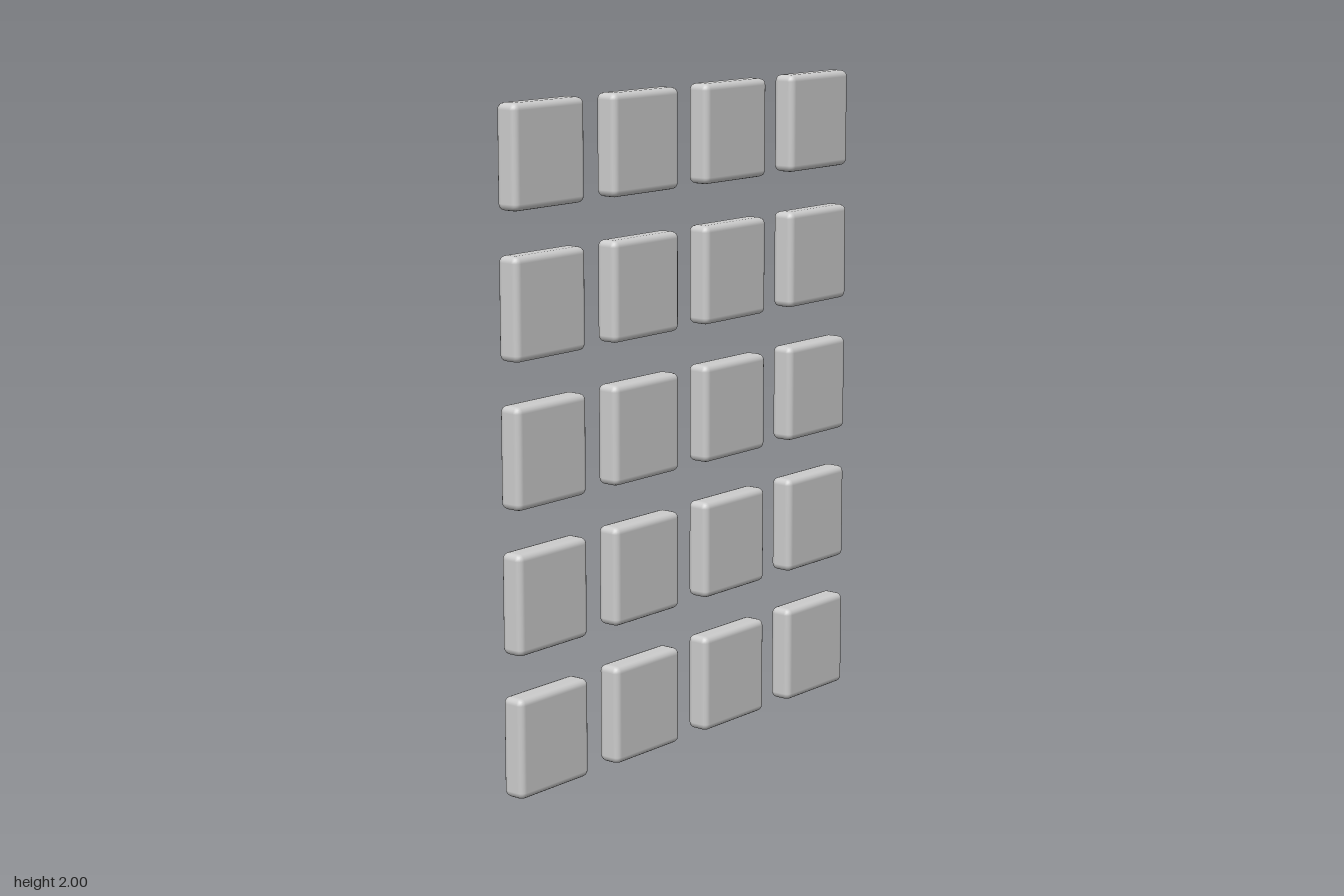
import * as THREE from 'three';
import { RoundedBoxGeometry } from 'three/addons/geometries/RoundedBoxGeometry.js';

const COLUMNS = 4, ROWS = 5;
const SIZE = 0.3, DEPTH = 0.075, PITCH = 0.425, BEVEL = 0.02;

export function createModel() {
  const group = new THREE.Group();
  group.name = 'tileGrid';
  const material = new THREE.MeshStandardMaterial({ color: 0xcccccc });
  const geometry = new RoundedBoxGeometry(SIZE, SIZE, DEPTH, 2, BEVEL);

  // Upright grid of separate square tiles with softened edges
  for (let row = 0; row < ROWS; row++) {
    for (let column = 0; column < COLUMNS; column++) {
      const tile = new THREE.Mesh(geometry, material);
      tile.name = `tileRow${row + 1}Column${column + 1}`;
      tile.position.set((column - (COLUMNS - 1) / 2) * PITCH, SIZE / 2 + row * PITCH, 0);
      group.add(tile);
    }
  }
  return group;
}
